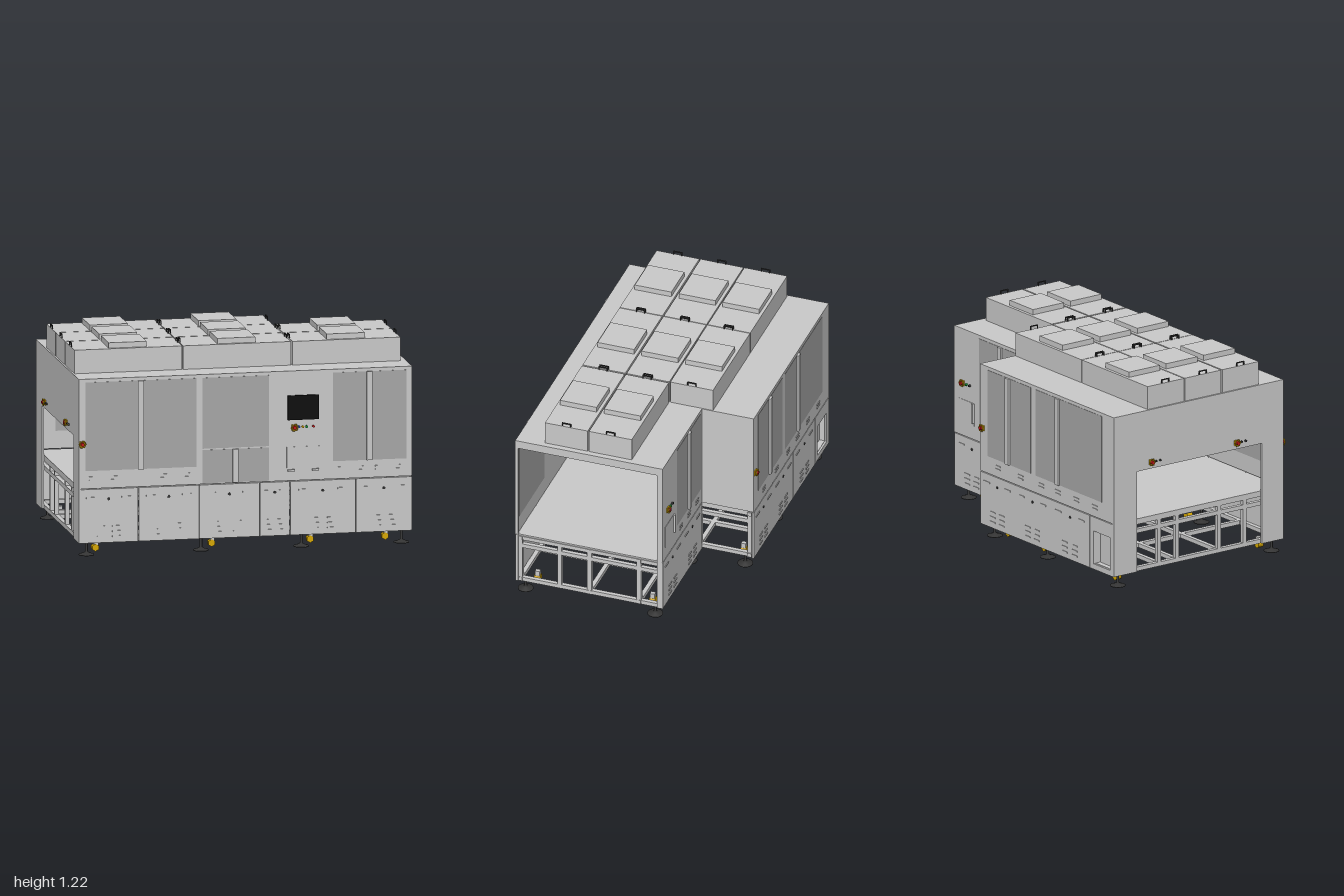
import * as THREE from 'three';

const mat = (color, extra = {}) => new THREE.MeshStandardMaterial({ color, ...extra });
const GREY = mat(0xcccccc), WINDOW = mat(0xa8a8a8), DARK = mat(0x333333), BLACK = mat(0x0a0a0a);
const YELLOW = mat(0xd9aa00), RED = mat(0xc01818), GREEN = mat(0x18a040), BLUE = mat(0x2050d0);

export function createModel() {
  const root = new THREE.Group();
  root.name = 'processMachine';

  const add = (name, geo, material, parent = root) => {
    const m = new THREE.Mesh(geo, material);
    m.name = name;
    parent.add(m);
    return m;
  };
  // Box given by its limits on each axis
  const box = (name, x0, x1, y0, y1, z0, z1, material = GREY, parent = root) => {
    const m = add(name, new THREE.BoxGeometry(x1 - x0, y1 - y0, z1 - z0), material, parent);
    m.position.set((x0 + x1) / 2, (y0 + y1) / 2, (z0 + z1) / 2);
    return m;
  };
  const group = (name) => {
    const g = new THREE.Group();
    g.name = name;
    root.add(g);
    return g;
  };
  // Box on an outward wall: s = +1 faces +z, s = -1 faces -z; d0..d1 is depth from the wall plane
  const onWall = (name, z, s, x0, x1, y0, y1, d0, d1, material) =>
    box(name, x0, x1, y0, y1, Math.min(z + s * d0, z + s * d1), Math.max(z + s * d0, z + s * d1), material);

  const L = -0.985, R = 0.995, F = 0.61, B = -0.62, STEP = 0.315, SB = -0.3;
  const T = 0.012;

  // L-shaped plates: roof and work table (shape drawn with y = -z)
  const plate = (name, y, h, inset) => {
    const s = new THREE.Shape([
      [L + inset, -F + inset], [R - inset, -F + inset], [R - inset, -SB - inset],
      [STEP - inset, -SB - inset], [STEP - inset, -B - inset], [L + inset, -B - inset],
    ].map(([x, v]) => new THREE.Vector2(x, v)));
    const m = add(name, new THREE.ExtrudeGeometry(s, { depth: h, bevelEnabled: false }), GREY);
    m.rotation.x = -Math.PI / 2;
    m.position.y = y;
  };
  plate('roof', 1.04, 0.01, 0);
  plate('workTable', 0.387, 0.01, 0.012);

  // Upper walls
  box('frontWall', L, R, 0.4, 1.04, F - T, F);
  box('backWall', L, STEP, 0.4, 1.04, B, B + T);
  box('stepBackWall', STEP, R, 0.4, 1.04, SB, SB + T);
  box('stepSideWall', STEP - T, STEP, 0.4, 1.04, B + T, SB + T);

  // Right-hand end wall with the tall loading opening (shape x = z)
  const end = new THREE.Shape([
    [B, 0.078], [-0.45, 0.078], [-0.45, 0.69], [0.455, 0.69], [0.455, 0.078], [F, 0.078], [F, 1.04], [B, 1.04],
  ].map(([z, y]) => new THREE.Vector2(-z, y)));
  const endWall = add('endWall', new THREE.ExtrudeGeometry(end, { depth: T, bevelEnabled: false }), GREY);
  endWall.rotation.y = Math.PI / 2;
  endWall.position.x = L;

  // Frame around the open end
  box('openEndHeader', R - 0.02, R, 1.0, 1.04, SB + T, F - T);
  box('openEndFrontPost', R - 0.02, R, 0.078, 1.0, 0.593, F - T);
  box('openEndBackPost', R - 0.02, R, 0.078, 1.0, SB + 0.005, -0.265);

  // Lower panels, one wall at a time, with lock, slots and louvres
  const lowerPanels = (z, s, edges, skipVents = -1) => {
    for (let i = 0; i < edges.length - 1; i++) {
      const a = edges[i] + 0.002, b = edges[i + 1] - 0.002, c = (a + b) / 2, w = b - a;
      if (i === skipVents) continue;
      onWall('lowerPanel', z, s, a, b, 0.077, 0.395, -T, 0);
      const lock = add('panelLock', new THREE.CylinderGeometry(0.008, 0.008, 0.008, 12), DARK);
      lock.rotation.x = Math.PI / 2;
      lock.position.set(c, 0.335, z);
      for (const side of [-1, 1]) {
        const x = c + side * w * 0.3;
        onWall('panelSlot', z, s, x - 0.028, x + 0.028, 0.34, 0.349, -0.002, 0.004);
        for (const y of [0.11, 0.14, 0.17]) {
          const v = c + side * w * 0.13;
          onWall('louvre', z, s, v - 0.025, v + 0.025, y, y + 0.007, -0.002, 0.004);
        }
      }
    }
  };
  lowerPanels(F, 1, [L, -0.63, -0.27, 0.09, 0.27, 0.66, R]);
  lowerPanels(B, -1, [L, -0.75, -0.37, -0.02, STEP], 0);
  lowerPanels(SB, -1, [STEP, 0.65, R]);

  // Back panel with the recessed service box
  const px0 = L, px1 = -0.752, cx0 = -0.95, cx1 = -0.79, cy0 = 0.11, cy1 = 0.31;
  const svc = new THREE.Shape([[px0, 0.077], [px1, 0.077], [px1, 0.395], [px0, 0.395]].map(([x, y]) => new THREE.Vector2(x, y)));
  svc.holes.push(new THREE.Path([[cx0, cy0], [cx0, cy1], [cx1, cy1], [cx1, cy0]].map(([x, y]) => new THREE.Vector2(x, y))));
  add('servicePanel', new THREE.ExtrudeGeometry(svc, { depth: T, bevelEnabled: false }), GREY).position.z = B;
  box('serviceRecessBack', cx0, cx1, cy0, cy1, B + 0.045, B + 0.05);
  for (const x of [cx0, cx1]) box('serviceRecessSide', x - 0.003, x + 0.003, cy0, cy1, B + T, B + 0.05);
  for (const y of [cy0, cy1]) box('serviceRecessEdge', cx0, cx1, y - 0.003, y + 0.003, B + T, B + 0.05);

  // Windows show on both wall faces; a vertical pull bar runs down the middle
  const door = (z, s, x0, x1, y0, y1, bar) => {
    onWall('window', z, s, x0, x1, y0, y1, -T - 0.002, 0.002, WINDOW);
    if (bar !== undefined) onWall('pullBar', z, s, bar - 0.017, bar + 0.017, y0, y1, 0, 0.014);
  };
  door(F, 1, -0.945, -0.285, 0.505, 1.03, -0.618);
  door(F, 1, -0.25, 0.145, 0.61, 1.03);
  door(F, 1, -0.25, 0.145, 0.405, 0.602, -0.055);
  door(F, 1, 0.525, 0.96, 0.505, 1.03, 0.74);
  door(B, -1, -0.18, 0.24, 0.505, 1.03, 0.04);
  door(B, -1, -0.87, -0.225, 0.505, 1.03, -0.445);
  door(SB, -1, 0.34, 0.75, 0.505, 1.03, 0.545);

  // Slots along the bottom of the upper walls
  for (const [z, s, xs] of [[F, 1, [-0.9, -0.77, -0.48, -0.35, 0.58, 0.68, 0.8, 0.9]],
    [B, -1, [-0.8, -0.62, -0.44, -0.28, -0.08, 0.14]], [SB, -1, [0.4, 0.54, 0.68]]])
    for (const x of xs)
      for (const y of [0.445, 0.465]) onWall('wallSlot', z, s, x - 0.025, x + 0.025, y, y + 0.006, -0.002, 0.004);

  // Operator station: screen, keyboard drawer and grips
  onWall('screen', F, 1, 0.255, 0.44, 0.76, 0.905, 0, 0.01, BLACK);
  onWall('drawerFront', F, 1, 0.25, 0.445, 0.475, 0.6, 0, 0.002);
  for (const x of [0.255, 0.4]) onWall('drawerGrip', F, 1, x, x + 0.04, 0.455, 0.467, 0, 0.014);
  onWall('rearDrawer', SB, -1, 0.8, 0.95, 0.48, 0.62, 0, 0.002);
  onWall('rearDrawerGrip', SB, -1, 0.8, 0.815, 0.5, 0.62, 0, 0.014);

  // Buttons point along local +z; turn gives the facing direction
  const button = (name, x, y, z, turn, material, r = 0.007, d = 0.012) => {
    const g = group(name);
    const m = add('cap', new THREE.CylinderGeometry(r, r, d, 12), material, g);
    m.rotation.x = Math.PI / 2;
    m.position.z = d / 2;
    g.position.set(x, y, z);
    g.rotation.y = turn;
    return g;
  };
  const emergencyStop = (x, y, z, turn) => {
    const g = button('emergencyStop', x, y, z, turn, RED, 0.011, 0.022);
    const ring = add('guardRing', new THREE.TorusGeometry(0.02, 0.004, 6, 6), YELLOW, g);
    ring.position.z = 0.013;
    box('guardBase', -0.016, 0.016, -0.016, 0.016, 0, 0.006, YELLOW, g);
  };
  emergencyStop(0.295, 0.715, F, 0);
  emergencyStop(-0.965, 0.665, F, 0);
  emergencyStop(0.29, 0.665, B, Math.PI);
  emergencyStop(0.91, 0.72, SB, Math.PI);
  [[0.322, BLUE], [0.345, YELLOW], [0.367, GREEN], [0.408, RED]].forEach(([x, m]) => button('stationButton', x, 0.718, F, 0, m));
  [[0.87, GREEN], [0.84, DARK]].forEach(([x, m]) => button('rearButton', x, 0.72, SB, Math.PI, m));
  for (const z of [-0.35, 0.27]) {
    emergencyStop(L, 0.73, z, -Math.PI / 2);
    for (const d of [0.035, 0.065]) button('endButton', L, 0.73, z + d, -Math.PI / 2, DARK, 0.006, 0.01);
  }

  // Filter fan units on the roof
  const cols = [-0.655, -0.01, 0.64], rows = [0.307, 0.035, -0.235];
  cols.forEach((x, i) => rows.forEach((z, j) => {
    if (i === 2 && j === 2) return;
    const g = group('fanUnit');
    box('housing', -0.32, 0.32, 1.05, 1.19, -0.132, 0.132, GREY, g);
    box('cap', -0.113, 0.113, 1.19, 1.222, -0.113, 0.113, GREY, g);
    for (const s of [-1, 1]) {
      const hx = s * 0.316;
      box('handleGrip', hx - 0.003, hx + 0.003, 1.207, 1.213, -0.028, 0.028, DARK, g);
      for (const e of [-0.025, 0.025]) box('handleLeg', hx - 0.003, hx + 0.003, 1.18, 1.207, e - 0.003, e + 0.003, DARK, g);
    }
    g.position.set(x, 0, z);
  }));

  // Base frame: long beams, cross beams and posts
  const w = 0.013;
  const longBeams = [[0.582, L, R], [0.155, L, R], [-0.15, L, R], [-0.28, L, R], [-0.59, L, STEP]];
  const crossX = [-0.96, -0.6, -0.25, 0.05, 0.29, 0.65, 0.975];
  for (const [y0, y1] of [[0.078, 0.103], [0.363, 0.387]]) {
    for (const [z, a, b] of longBeams) box('longBeam', a + T, b - 0.005, y0, y1, z - w, z + w);
    for (const x of crossX) box('crossBeam', x - w, x + w, y0, y1, x > 0.3 ? -0.28 : -0.59, 0.582);
  }
  for (const x of [-0.96, 0.29, 0.975]) box('midRail', x - w, x + w, 0.31, 0.335, x > 0.3 ? -0.28 : -0.59, 0.582);
  for (const x of [-0.96, -0.25, 0.29, 0.975])
    for (const z of [0.582, 0.34, 0.155, -0.15, -0.28, -0.59])
      if (x < 0.3 || z > -0.5) box('post', x - w, x + w, 0.1, 0.365, z - w, z + w);

  // Levelling feet
  const profile = [[0, 0], [0.046, 0], [0.046, 0.004], [0.016, 0.014], [0.008, 0.02], [0.008, 0.08]].map(([r, y]) => new THREE.Vector2(r, y));
  const footGeo = new THREE.LatheGeometry(profile, 16);
  const footMat = mat(0x333333, { side: THREE.DoubleSide });
  const at = (xs, z, fn) => xs.forEach((x) => fn(x, z));
  const foot = (x, z) => add('levellingFoot', footGeo, footMat).position.set(x, 0, z);
  at([-0.93, -0.25, 0.345, 0.94], 0.565, foot);
  at([0.345, 0.94], -0.235, foot);
  at([-0.93, -0.25, 0.265], -0.55, foot);

  // Yellow casters with their brackets
  const caster = (x, z) => {
    const g = group('caster');
    const wheel = add('wheel', new THREE.CylinderGeometry(0.022, 0.022, 0.036, 6), YELLOW, g);
    wheel.rotation.x = Math.PI / 2;
    wheel.position.y = 0.034;
    box('bracket', -0.008, 0.018, 0.048, 0.08, -0.014, 0.014, GREY, g);
    g.position.set(x, 0, z);
  };
  at([-0.87, -0.18, 0.405, 0.85], 0.52, caster);
  at([0.405, 0.85], -0.19, caster);
  at([-0.87, -0.18, 0.17], -0.51, caster);

  return root;
}
